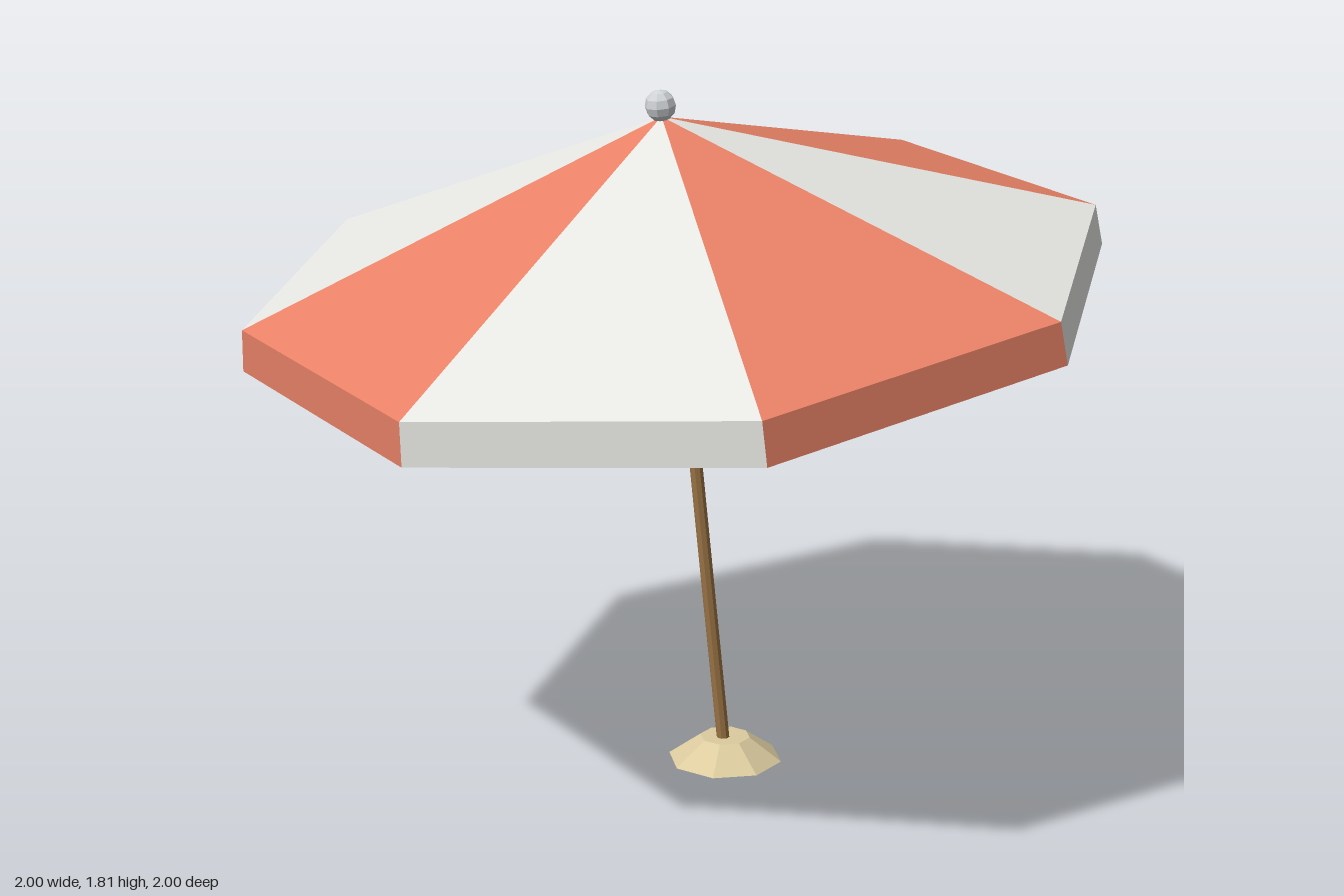
import * as THREE from 'three';

const mat = (name, color) => {
  const m = new THREE.MeshStandardMaterial({ color, flatShading: true });
  m.name = name;
  return m;
};

export function createModel() {
  const coral = mat('coral cloth', 0xe98267);
  const white = mat('off-white cloth', 0xe6e6e3);
  const wood = mat('wood', 0xa07848);
  const slate = mat('slate metal', 0x7c8894);
  const silver = mat('silver metal', 0xd0d3d6);
  const sand = mat('sand', 0xdccb9f);

  const model = new THREE.Group();
  model.name = 'beachUmbrella';
  const add = (parent, name, geometry, material, y = 0) => {
    const mesh = new THREE.Mesh(geometry, material);
    mesh.name = name;
    mesh.position.y = y;
    parent.add(mesh);
    return mesh;
  };

  // Mound of sand, upright
  const mound = add(model, 'sandMound', new THREE.CylinderGeometry(0.066, 0.15, 0.06, 8), sand);
  mound.position.set(0.088, 0.03, -0.155);

  // Everything else leans along the pole
  const leaning = new THREE.Group();
  leaning.name = 'leaningUmbrella';
  leaning.position.set(0.088, 0, -0.155);
  leaning.quaternion.setFromUnitVectors(
    new THREE.Vector3(0, 1, 0), new THREE.Vector3(-0.12, 1.74, 0.21).normalize());
  model.add(leaning);

  add(leaning, 'pole', new THREE.CylinderGeometry(0.017, 0.017, 1.72, 8), wood, 0.863);
  add(leaning, 'collar', new THREE.CylinderGeometry(0.025, 0.025, 0.09, 8), slate, 0.906);
  add(leaning, 'finial', new THREE.SphereGeometry(0.039, 8, 6), silver, 1.784);

  // Canopy: eight thick panels, each with its hanging valance, and a rib at each corner
  const canopy = new THREE.Group();
  canopy.name = 'canopy';
  canopy.position.y = 1.371;
  leaning.add(canopy);
  const R = 1.073, H = 0.385, N = 8, STEP = Math.PI * 2 / N;
  const FLARE = 0.012, DROP = 0.105, THICK = 0.018, LINING = 0.035;

  // Section from the inner peak, down to the valance lip and up to the outer peak
  const section = [
    [0, H - LINING], [R - THICK, -LINING], [R + FLARE - THICK, -DROP],
    [R + FLARE, -DROP], [R, 0], [0, H],
  ].map(([r, y]) => new THREE.Vector2(r, y));

  const ribLength = Math.hypot(R, H) - 0.06;
  for (let i = 0; i < N; i++) {
    add(canopy, 'canopyPanel', new THREE.LatheGeometry(section, 1, (i - 0.5) * STEP, STEP), i % 2 ? coral : white);

    const spoke = new THREE.Group();
    spoke.name = 'ribSpoke';
    spoke.rotation.y = (i + 0.5) * STEP;
    canopy.add(spoke);
    const rib = add(spoke, 'rib', new THREE.BoxGeometry(0.02, 0.018, ribLength), slate);
    rib.position.set(0, H / 2 - LINING - 0.006, R / 2 - 0.012);
    rib.rotation.x = Math.atan2(H, R);
  }
  add(canopy, 'hub', new THREE.CylinderGeometry(0.026, 0.026, 0.04, 8), slate, H - LINING - 0.03);

  return model;
}
